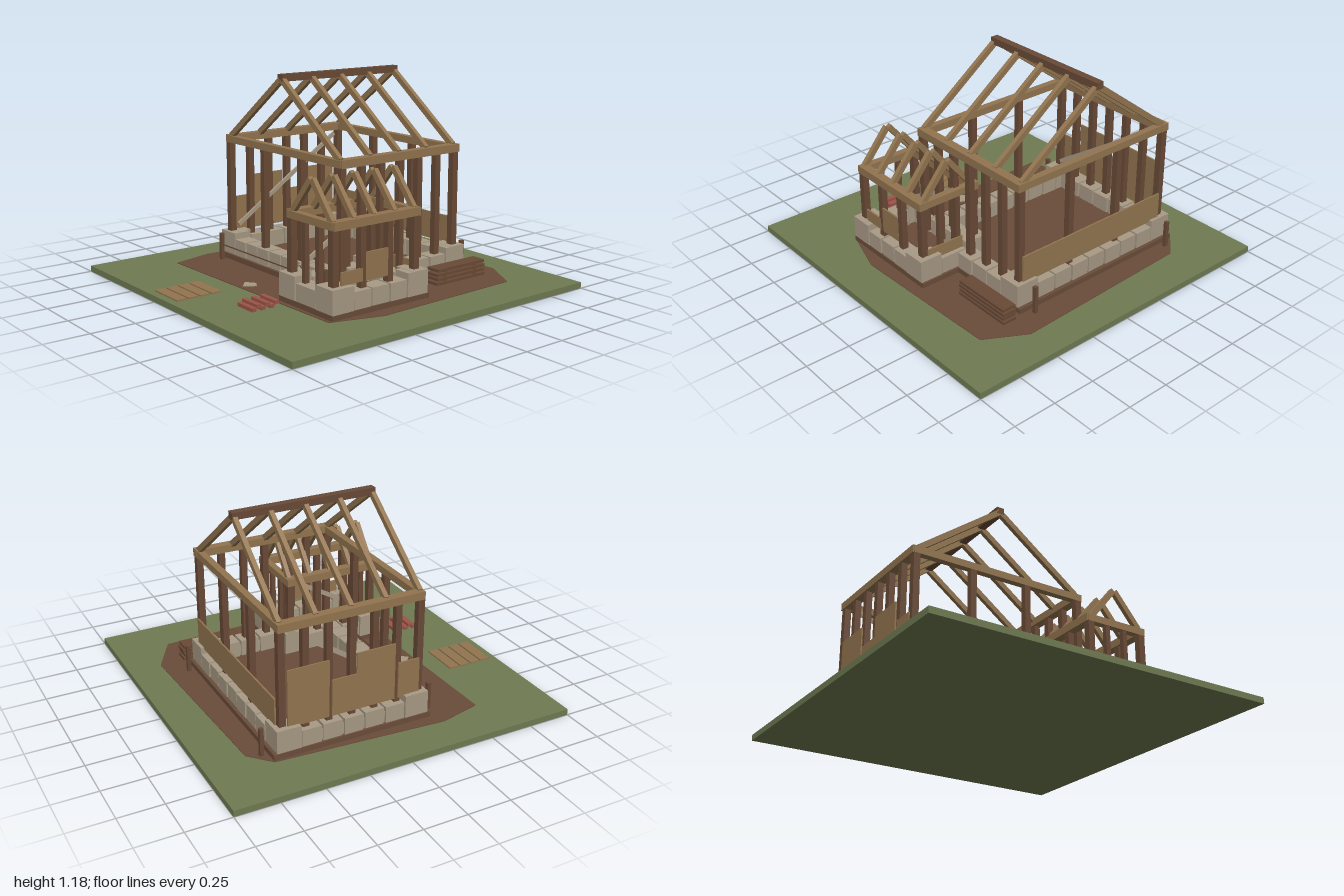
import * as THREE from 'three';

const mat = (name, color) => {
  const m = new THREE.MeshStandardMaterial({ color });
  m.name = name;
  return m;
};

export function createModel() {
  const root = new THREE.Group();
  root.name = 'houseUnderConstruction';
  const grass = mat('grass', 0x6f7a52);
  const earth = mat('earth', 0x6b4d3a);
  const stone = mat('stone', 0xa89a85);
  const darkWood = mat('darkWood', 0x694a36);
  const lightWood = mat('lightWood', 0x937550);
  const brickRed = mat('brick', 0x9c5448);

  const group = (name, parent = root) => {
    const g = new THREE.Group();
    g.name = name;
    parent.add(g);
    return g;
  };
  // Box given by its min and max along each axis
  const box = (parent, name, m, x0, x1, y0, y1, z0, z1) => {
    const b = new THREE.Mesh(new THREE.BoxGeometry(x1 - x0, y1 - y0, z1 - z0), m);
    b.position.set((x0 + x1) / 2, (y0 + y1) / 2, (z0 + z1) / 2);
    b.name = name;
    parent.add(b);
    return b;
  };
  // Sloped beam between two points; width lies across the slope, depth is the other way
  const beam = (parent, name, m, a, b, width, depth, alongX) => {
    const p = new THREE.Vector3(...a), q = new THREE.Vector3(...b);
    const len = p.distanceTo(q);
    const g = alongX ? new THREE.BoxGeometry(len, width, depth) : new THREE.BoxGeometry(depth, width, len);
    const mesh = new THREE.Mesh(g, m);
    mesh.position.copy(p).add(q).multiplyScalar(0.5);
    if (alongX) mesh.rotation.z = Math.atan2(q.y - p.y, q.x - p.x);
    else mesh.rotation.x = -Math.atan2(q.y - p.y, q.z - p.z);
    mesh.name = name;
    parent.add(mesh);
  };
  // Flat polygon in x, z with a small thickness
  const slab = (name, m, pts, y, h) => {
    const s = new THREE.Shape(pts.map(([x, z]) => new THREE.Vector2(x, -z)));
    const mesh = new THREE.Mesh(new THREE.ExtrudeGeometry(s, { depth: h, bevelEnabled: false }), m);
    mesh.rotation.x = -Math.PI / 2;
    mesh.position.y = y;
    mesh.name = name;
    root.add(mesh);
  };

  // Ground and excavated earth
  box(root, 'ground', grass, -1, 1, 0, 0.035, -1, 1);
  slab('earthPatch', earth, [[-0.6, -0.76], [0.51, -0.81], [0.74, -0.68], [0.77, 0.25],
    [0.68, 0.54], [-0.73, 0.575], [-0.79, 0.33], [-0.72, -0.65]], 0.035, 0.004);
  box(root, 'mainFooting', earth, -0.715, 0.445, 0.037, 0.07, -0.65, 0.285);
  box(root, 'porchFooting', earth, 0.235, 0.69, 0.037, 0.069, -0.13, 0.525);

  // Stone walls: low core with taller separate blocks, and high corner stones
  const walls = group('stoneFoundation');
  const wall = (alongX, fixed, from, to) => {
    const put = (name, a, b, y, half) => alongX
      ? box(walls, name, stone, a, b, 0.068, y, fixed - half, fixed + half)
      : box(walls, name, stone, fixed - half, fixed + half, 0.068, y, a, b);
    put('wallCore', from, to, 0.135, 0.038);
    const n = Math.max(1, Math.round((to - from) / 0.123)), step = (to - from) / n;
    for (let i = 0; i < n; i++) {
      put('wallBlock', from + i * step + 0.006, from + (i + 1) * step - 0.006, 0.165, i % 2 ? 0.048 : 0.051);
    }
  };
  // Corner stone made of two overlapping blocks; sx, sz point to the inside
  const corner = (x, z, sx, sz) => {
    const span = (c, s, d) => (s > 0 ? [c, c + d] : [c - d, c]);
    box(walls, 'cornerStone', stone, ...span(x, sx, 0.14), 0.068, 0.2, ...span(z, sz, 0.1));
    box(walls, 'cornerStone', stone, ...span(x, sx, 0.1), 0.068, 0.199, ...span(z, sz, 0.14));
  };
  wall(true, -0.58, -0.57, 0.305);
  wall(true, 0.22, -0.57, 0.24);
  wall(false, -0.655, -0.49, 0.13);
  wall(false, 0.39, -0.49, -0.12);
  wall(true, 0.47, 0.375, 0.55);
  wall(true, -0.065, 0.375, 0.55);
  wall(false, 0.29, 0.02, 0.385);
  wall(false, 0.635, 0.02, 0.385);
  corner(-0.71, -0.63, 1, 1);
  corner(0.445, -0.63, -1, 1);
  corner(-0.71, 0.27, 1, -1);
  for (const [x, sx] of [[0.235, 1], [0.69, -1]]) {
    corner(x, -0.12, sx, 1);
    corner(x, 0.525, sx, -1);
  }

  // Timber frame: posts around a rectangle, top plates and rafter pairs
  const frame = (name, f) => {
    const g = group(name);
    const post = (x, z, w, y0) =>
      box(g, 'post', darkWood, x - w, x + w, y0, f.plate + 0.005, z - w, z + w);
    f.xs.forEach((x, i) => {
      const end = i === 0 || i === f.xs.length - 1;
      for (const z of [f.zs[0], f.zs[f.zs.length - 1]]) post(x, z, end ? 0.019 : f.w, 0.13);
    });
    for (const z of f.zs.slice(1, -1)) {
      for (const x of [f.xs[0], f.xs[f.xs.length - 1]]) post(x, z, 0.018, 0.13);
    }
    const [x0, x1] = [f.xs[0], f.xs[f.xs.length - 1]];
    const [z0, z1] = [f.zs[0], f.zs[f.zs.length - 1]];
    const [y0, y1] = [f.plate, f.plate + 0.045];
    for (const x of [x0, x1]) box(g, 'sidePlate', lightWood, x - 0.026, x + 0.026, y0, y1, z0 - 0.022, z1 + 0.016);
    for (const z of [z0, z1]) box(g, 'endPlate', lightWood, x0 - 0.016, x1 + 0.016, y0 + 0.001, y1 - 0.003, z - 0.02, z + 0.02);
    for (let i = 0; i < 5; i++) {
      const z = z0 + (z1 - z0) * i / 4, mid = (x0 + x1) / 2;
      for (const s of [-1, 1]) {
        beam(g, 'rafter', lightWood, [mid + s * f.half, y1 - 0.008, z], [mid + s * 0.005, f.top, z], 0.033, 0.026, true);
      }
    }
    return g;
  };
  const main = frame('mainFrame', {
    xs: [-0.657, -0.307, 0.043, 0.392], zs: [-0.582, -0.447, -0.311, -0.176, -0.041, 0.095, 0.23],
    plate: 0.738, w: 0.018, half: 0.515, top: 1.155 });
  box(main, 'ridgeBeam', darkWood, -0.155, -0.11, 1.145, 1.185, -0.6, 0.243);
  const porch = frame('porchFrame', {
    xs: [0.287, 0.403, 0.52, 0.636], zs: [-0.068, 0.113, 0.294, 0.475],
    plate: 0.49, w: 0.014, half: 0.165, top: 0.722 });

  // Boarding, given by z range and height
  for (const [z0, z1, y] of [[0.095, 0.225, 0.4], [-0.155, 0.075, 0.52], [-0.3, -0.155, 0.4], [-0.555, -0.315, 0.52]]) {
    box(main, 'leftBoarding', lightWood, -0.683, -0.674, 0.19, y, z0, z1);
  }
  box(main, 'backBoarding', lightWood, -0.64, 0.39, 0.19, 0.35, -0.61, -0.6);
  box(porch, 'sideBoarding', lightWood, 0.645, 0.655, 0.2, 0.27, 0.3, 0.44);
  box(porch, 'sideBoarding', lightWood, 0.645, 0.655, 0.2, 0.35, 0.13, 0.28);
  box(porch, 'backBoarding', lightWood, 0.38, 0.62, 0.165, 0.235, -0.09, -0.08);

  // Pale diagonal braces inside the side walls
  beam(main, 'brace', stone, [-0.632, 0.235, 0.2], [-0.632, 0.72, -0.53], 0.025, 0.012, false);
  beam(porch, 'brace', stone, [0.312, 0.225, 0.44], [0.312, 0.495, -0.03], 0.025, 0.012, false);

  // Setting-out stakes and string
  const markers = group('settingOut');
  for (const x of [-0.635, 0.37]) {
    for (const z of [0.32, -0.685]) box(markers, 'stake', darkWood, x - 0.011, x + 0.011, 0.035, 0.2, z - 0.011, z + 0.011);
  }
  box(markers, 'string', darkWood, -0.635, 0.37, 0.128, 0.134, 0.317, 0.323);

  // Stacked timber
  const pile = group('timberPile');
  for (let i = 0; i < 4; i++) {
    const y = 0.042 + i * 0.025, d = (i % 2) * 0.006;
    box(pile, 'timber', darkWood, 0.49, 0.575, y, y + 0.016, -0.67 + d, -0.3 - d);
  }
  for (const z of [-0.6, -0.37]) box(pile, 'spacer', darkWood, 0.497, 0.568, 0.037, 0.12, z - 0.008, z + 0.008);

  // Loose boards, bricks and a flat stone
  const boards = group('looseBoards');
  for (let i = 0; i < 4; i++) {
    const z = 0.68 + i * 0.072;
    box(boards, 'board', lightWood, -0.32, -0.085, 0.034, 0.043, z, z + 0.06);
  }
  const bricks = group('bricks');
  for (let i = 0; i < 6; i++) {
    const y = i % 2 ? 0.05 : 0.065, z = 0.605 + i * 0.028;
    box(bricks, 'brick', brickRed, 0.212, 0.347, y, y + 0.02, z, z + 0.026);
  }
  slab('flatStone', stone, [[-0.14, 0.49], [-0.085, 0.45], [-0.045, 0.475], [-0.09, 0.535]], 0.038, 0.006);

  return root;
}
